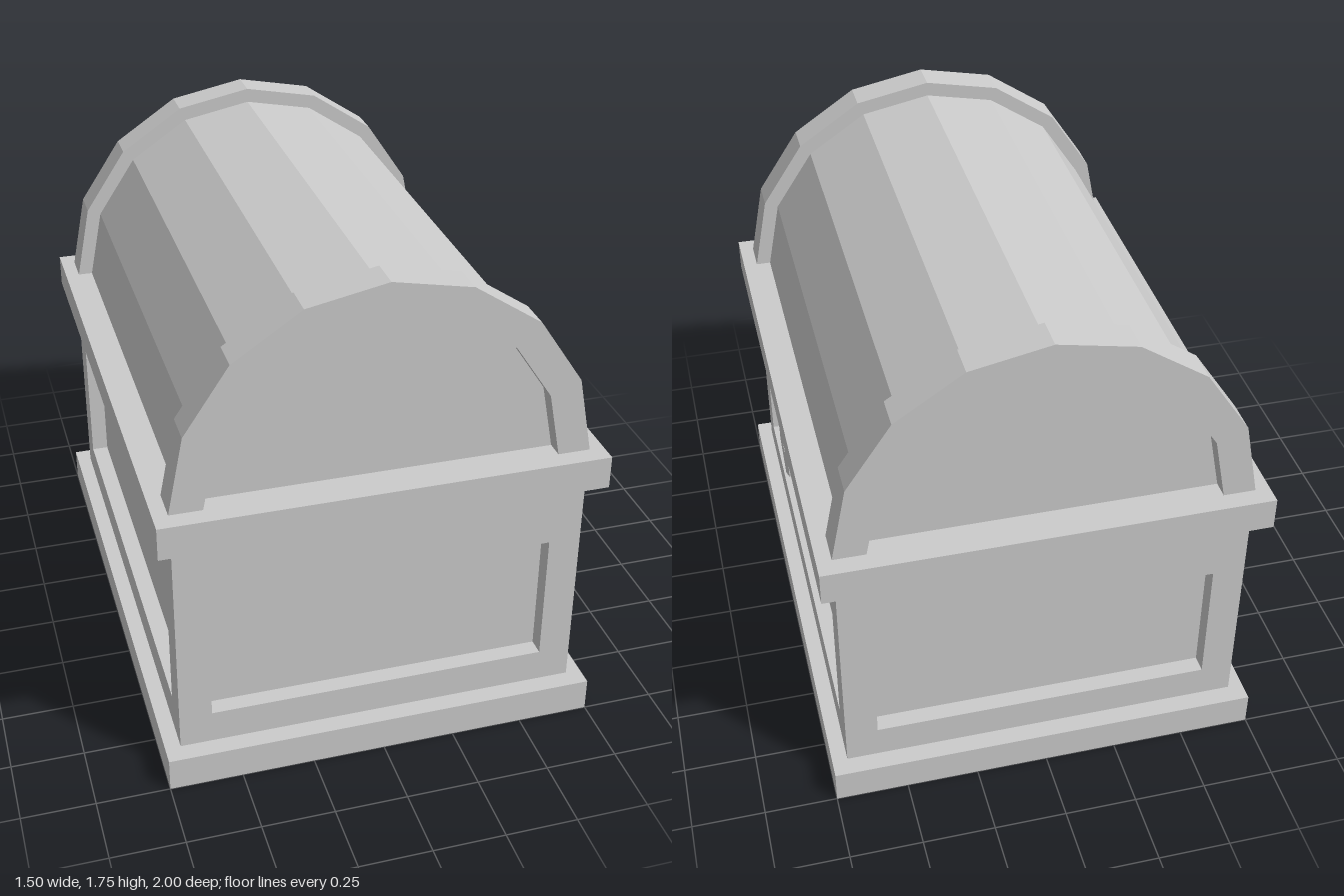
import * as THREE from 'three';

const material = new THREE.MeshStandardMaterial({ color: 0xcccccc, flatShading: true });

export function createModel() {
  const chest = new THREE.Group();
  chest.name = 'chest';

  const add = (name, geometry, x = 0, y = 0, z = 0, turn = 0) => {
    const mesh = new THREE.Mesh(geometry, material);
    mesh.name = name;
    mesh.position.set(x, y, z);
    mesh.rotation.y = turn;
    chest.add(mesh);
    return mesh;
  };
  const extrude = (shape, depth) =>
    new THREE.ExtrudeGeometry(shape, { depth, bevelEnabled: false, curveSegments: 1 });
  const points = (list) => list.map(([x, y]) => new THREE.Vector2(x, y));
  const rect = (w, y0, y1) => points([[-w, y0], [w, y0], [w, y1], [-w, y1]]);
  // Points of an eight-sided half circle, from right to left
  const arc = (r) => Array.from({ length: 9 }, (_, i) => {
    const a = (i * Math.PI) / 8;
    return new THREE.Vector2(r * Math.cos(a), r * Math.sin(a));
  });

  const inset = 0.06;
  const halfX = 0.697, halfZ = 0.935;
  const lidY = 1.05;

  // Base, rim and the recessed core of the body
  add('base', new THREE.BoxGeometry(1.5, 0.118, 2), 0, 0.059, 0);
  add('rim', new THREE.BoxGeometry(1.5, 0.115, 2), 0, 0.9925, 0);
  add('bodyCore', new THREE.BoxGeometry(2 * (halfX - inset), 0.82, 2 * (halfZ - inset)), 0, 0.525, 0);

  // Frames around the sunken panels on all four sides
  const frame = (halfWidth, holeWidth) => {
    const shape = new THREE.Shape(rect(halfWidth, 0.115, 0.938));
    shape.holes.push(new THREE.Path(rect(holeWidth, 0.235, 0.702)));
    return extrude(shape, inset);
  };
  const endFrame = frame(halfX, 0.586);
  const sideFrame = frame(halfZ - inset, 0.816);
  add('frontFrame', endFrame, 0, 0, halfZ - inset);
  add('backFrame', endFrame, 0, 0, -halfZ + inset, Math.PI);
  add('leftFrame', sideFrame, halfX - inset, 0, 0, Math.PI / 2);
  add('rightFrame', sideFrame, -halfX + inset, 0, 0, -Math.PI / 2);

  // Faceted lid barrel
  const barrelEnd = halfZ - inset;
  add('lidBarrel', extrude(new THREE.Shape(arc(0.648)), 2 * barrelEnd), 0, lidY, -barrelEnd);

  // Raised arches at both ends of the lid
  const arch = extrude(new THREE.Shape([...arc(0.7), ...arc(0.59).reverse()]), 0.117);
  add('frontArch', arch, 0, lidY, 0.818);
  add('backArch', arch, 0, lidY, -halfZ);

  // Lock plate with a pointed tab and a keyhole
  const plate = new THREE.Shape(points([
    [-0.35, 0.936], [-0.35, 0.762], [-0.115, 0.762], [-0.115, 0.7], [0, 0.628],
    [0.115, 0.7], [0.115, 0.762], [0.35, 0.762], [0.35, 0.936],
  ]));
  const keyhole = [[-0.02, 0.738], [0.02, 0.738]];
  for (let i = 0; i <= 9; i++) {
    const a = THREE.MathUtils.degToRad(-62 + (i * 304) / 9);
    keyhole.push([0.043 * Math.cos(a), 0.848 + 0.043 * Math.sin(a)]);
  }
  plate.holes.push(new THREE.Path(points(keyhole)));
  add('lockPlate', extrude(plate, 0.033), halfX, 0, 0.03, Math.PI / 2);

  return chest;
}
